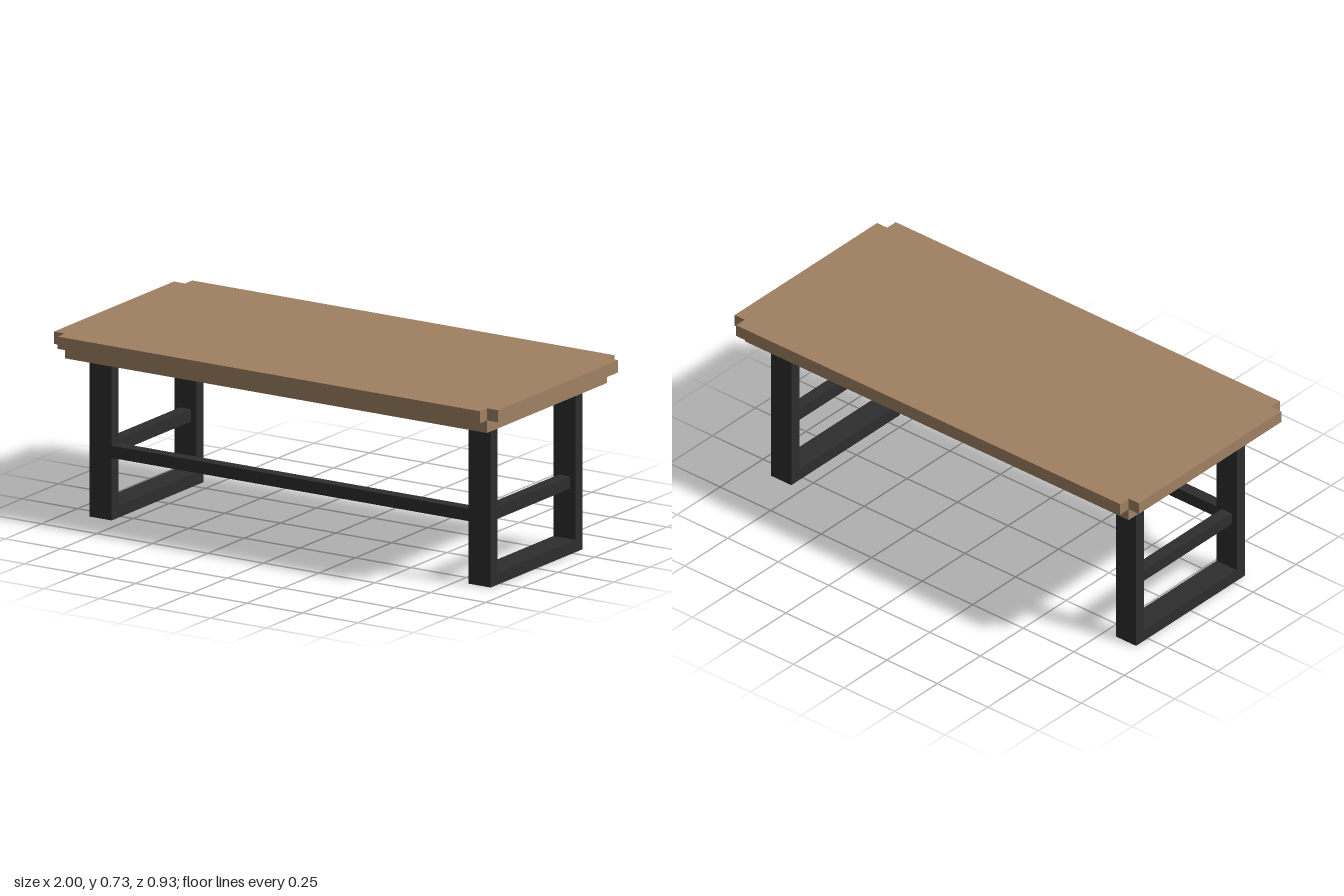
import * as THREE from 'three';

export function createModel() {
  const table = new THREE.Group();
  table.name = 'table';

  const mat = (name, color) => {
    const m = new THREE.MeshStandardMaterial({ color });
    m.name = name;
    return m;
  };
  const wood = mat('wood', 0xa08162);
  const darkWood = mat('dark wood', 0x4a372a);
  const metal = mat('dark metal', 0x2d2d2d);

  // Box given by its minimum and maximum corners
  const box = (name, material, [x0, y0, z0], [x1, y1, z1], parent = table) => {
    const mesh = new THREE.Mesh(new THREE.BoxGeometry(x1 - x0, y1 - y0, z1 - z0), material);
    mesh.position.set((x0 + x1) / 2, (y0 + y1) / 2, (z0 + z1) / 2);
    mesh.name = name;
    parent.add(mesh);
    return mesh;
  };

  // Tabletop: one slab with a square notch at each corner
  const X = 1, Z = 0.465, N = 0.05, TOP = 0.733, LIP = 0.685, LEG = 0.636;
  const outline = new THREE.Shape([
    [X, Z - N], [X - N, Z - N], [X - N, Z],
    [-X + N, Z], [-X + N, Z - N], [-X, Z - N],
    [-X, -Z + N], [-X + N, -Z + N], [-X + N, -Z],
    [X - N, -Z], [X - N, -Z + N], [X, -Z + N],
  ].map(([x, z]) => new THREE.Vector2(x, z)));
  const slab = new THREE.ExtrudeGeometry(outline, { depth: TOP - LIP, bevelEnabled: false });
  slab.rotateX(-Math.PI / 2);
  const tabletop = new THREE.Mesh(slab, wood);
  tabletop.position.y = LIP;
  tabletop.name = 'tabletop';
  table.add(tabletop);

  // Apron under the top, with a dark underside and two darker wooden rails
  box('apron', wood, [-X + N, LEG, -Z + N], [X - N, LIP, Z - N]);
  box('undersidePanel', metal, [-0.92, LEG - 0.002, -0.385], [0.92, LEG + 0.001, 0.385]);
  for (const s of [-1, 1]) {
    const z = [0.25 * s, 0.385 * s].sort((a, b) => a - b);
    box('undersideRail', darkWood, [-0.92, LEG - 0.004, z[0]], [0.92, LEG - 0.001, z[1]]);
  }

  // End frames: two legs, a foot bar and a narrower crossbar
  const OUT = 0.317, IN = 0.27, BAR0 = 0.245, BAR1 = 0.293;
  for (const s of [-1, 1]) {
    const frame = new THREE.Group();
    frame.name = s > 0 ? 'leftEndFrame' : 'rightEndFrame';
    frame.position.x = 0.853 * s;
    table.add(frame);
    box('frontLeg', metal, [-0.05, 0, IN], [0.05, LEG, OUT], frame);
    box('backLeg', metal, [-0.05, 0, -OUT], [0.05, LEG, -IN], frame);
    box('footBar', metal, [-0.05, 0, -IN], [0.05, 0.048, IN], frame);
    box('crossbar', metal, [-0.025, BAR0, -IN], [0.025, BAR1, IN], frame);
  }

  // Long stretcher joining the two front legs
  box('stretcher', metal, [-0.803, BAR0, IN], [0.803, BAR1, OUT]);

  return table;
}
